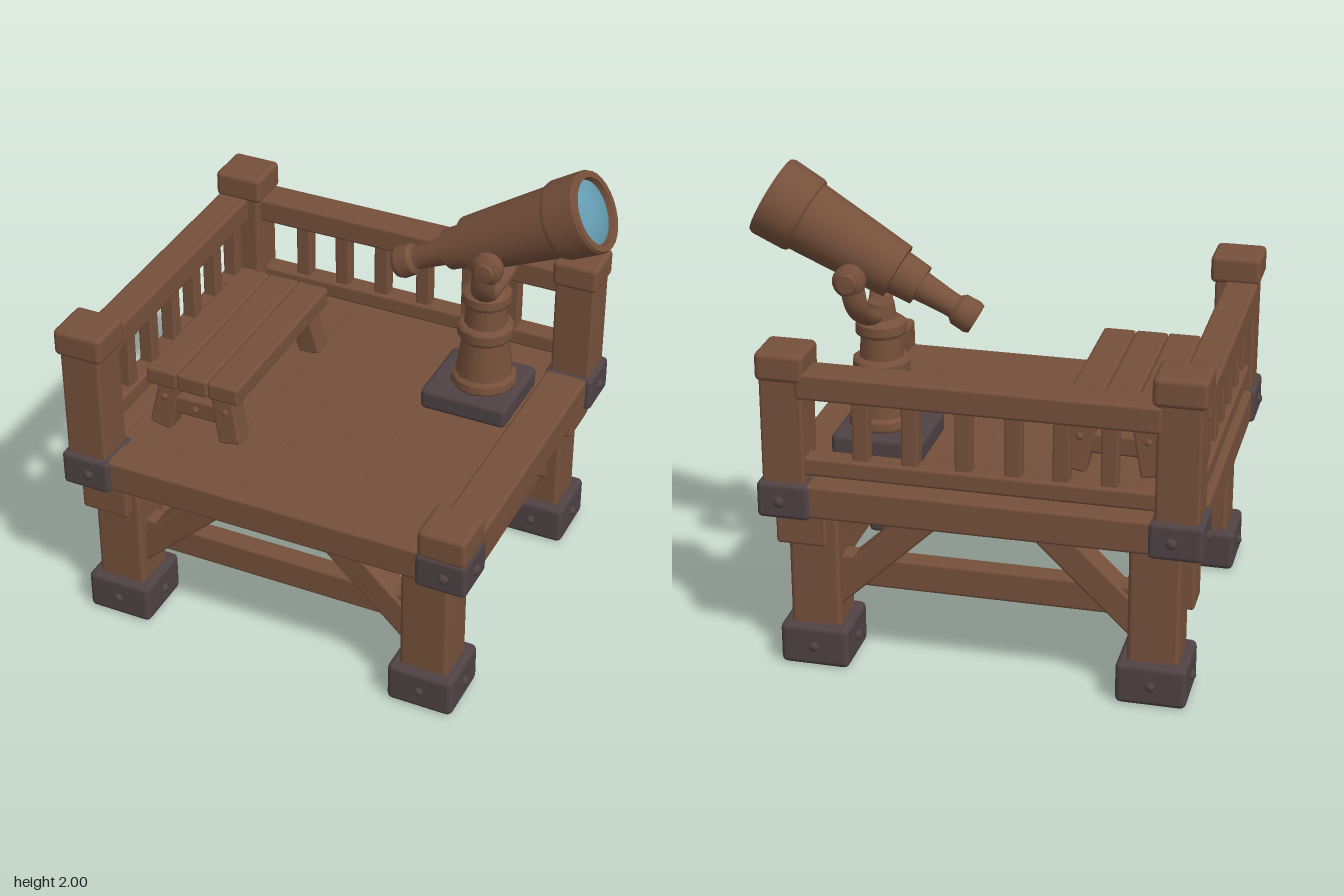
import * as THREE from 'three';
import { RoundedBoxGeometry } from 'three/addons/geometries/RoundedBoxGeometry.js';

const wood = new THREE.MeshStandardMaterial({ color: 0x76503b });
wood.name = 'brown wood';
const iron = new THREE.MeshStandardMaterial({ color: 0x4f4245 });
iron.name = 'dark iron';
const glass = new THREE.MeshStandardMaterial({ color: 0x649bb0 });
glass.name = 'blue glass';

function add(parent, name, geometry, material, x = 0, y = 0, z = 0) {
  const mesh = new THREE.Mesh(geometry, material);
  mesh.name = name;
  mesh.position.set(x, y, z);
  parent.add(mesh);
  return mesh;
}

// Softly bevelled block given by its limits on each axis
function block(parent, name, [x0, x1], [y0, y1], [z0, z1], material = wood, bevel = 0.014) {
  const size = [x1 - x0, y1 - y0, z1 - z0];
  const r = Math.min(bevel, Math.min(...size) * 0.3);
  return add(parent, name, new RoundedBoxGeometry(...size, 2, r), material,
    (x0 + x1) / 2, (y0 + y1) / 2, (z0 + z1) / 2);
}

// Square timber running between two points
function timber(parent, name, a, b, width, depth) {
  const from = new THREE.Vector3(...a), to = new THREE.Vector3(...b);
  const up = to.clone().sub(from);
  const mesh = add(parent, name, new RoundedBoxGeometry(width, up.length(), depth, 2, 0.012), wood);
  mesh.position.copy(from).add(to).multiplyScalar(0.5);
  up.normalize();
  // Keep the timber's depth axis square to the plane it lies in
  const side = Math.abs(up.x) > Math.abs(up.z) ? new THREE.Vector3(0, 0, 1) : new THREE.Vector3(1, 0, 0);
  const across = new THREE.Vector3().crossVectors(up, side).normalize();
  const normal = new THREE.Vector3().crossVectors(across, up);
  mesh.quaternion.setFromRotationMatrix(new THREE.Matrix4().makeBasis(across, up, normal));
  return mesh;
}

function stud(parent, x, y, z, r = 0.022, material = iron) {
  add(parent, 'stud', new THREE.SphereGeometry(r, 10, 8), material, x, y, z);
}

// Thin flat patch cut from a short outline
function patch(parent, name, points, x, y, z) {
  const shape = new THREE.Shape(points.map((p) => new THREE.Vector2(...p)));
  return add(parent, name, new THREE.ExtrudeGeometry(shape, { depth: 0.004, bevelEnabled: false }), iron, x, y, z);
}

const around = (c, half) => [c - half, c + half];

// Turned part with a crisp profile: each segment gets its own normals
function turned(parent, name, points, sides) {
  const group = new THREE.Group();
  group.name = name;
  for (let i = 1; i < points.length; i++) {
    const pair = [points[i - 1], points[i]].map(([r, h]) => new THREE.Vector2(r, h));
    add(group, name + 'Section', new THREE.LatheGeometry(pair, sides), wood);
  }
  parent.add(group);
  return group;
}

function buildCorners(root) {
  for (const sx of [-1, 1]) for (const sz of [-1, 1]) {
    const corner = new THREE.Group();
    corner.name = 'cornerPost';
    root.add(corner);
    const lx = sx < 0 ? -0.767 : 0.625, lz = sz < 0 ? -0.615 : 0.625;
    const px = sx < 0 ? -0.857 : 0.722, pz = sz < 0 ? -0.688 : 0.7;

    // Leg and iron shoe
    block(corner, 'leg', around(lx, 0.105), [0.1, 0.74], around(lz, 0.102), wood, 0.02);
    block(corner, 'foot', around(lx, 0.144), [0.005, 0.185], around(lz, 0.14), iron, 0.025);
    for (const s of [-1, 1]) {
      stud(corner, lx + s * 0.141, 0.095, lz);
      stud(corner, lx, 0.095, lz + s * 0.135);
    }

    // Iron corner strap
    block(corner, 'cornerStrap', around(px, 0.109), [0.68, 0.835], around(pz, 0.108), iron, 0.02);
    stud(corner, px + sx * 0.1, 0.755, pz, 0.027);
    stud(corner, px + 0.015, 0.755, pz + sz * 0.1, 0.025);

    // Rail post and cap, or a low stump at the open corner
    if (sx > 0 && sz > 0) {
      block(corner, 'stumpCap', around(px, 0.103), [0.82, 0.95], around(pz, 0.104), wood, 0.022);
    } else {
      const top = sx > 0 ? 1.385 : 1.432;
      block(corner, 'railPost', around(px, 0.088), [0.8, top - 0.06], around(pz, 0.088));
      block(corner, 'postCap', around(px, sx < 0 ? 0.107 : 0.1), [top - 0.12, top], around(pz, 0.102), wood, 0.022);
    }
    if (sx !== sz) {
      block(corner, 'legCollar', around(sx < 0 ? -0.798 : 0.665, 0.105), [0.55, 0.7],
        around(sz < 0 ? -0.638 : 0.66, 0.112));
    }
  }
}

function buildDeck(root) {
  // Tight planks run front to back
  const edges = [-0.82, -0.74, -0.55, -0.36, -0.16, 0.03, 0.22, 0.41, 0.62, 0.7];
  for (let i = 1; i < edges.length; i++) {
    block(root, 'deckPlank', [edges[i - 1], edges[i]],
      [0.745, 0.826], [-0.67, 0.67], wood, 0.005);
  }
  // Edge beams
  block(root, 'edgeBeam', [-0.8, 0.66], [0.69, 0.832], [0.645, 0.787]);
  block(root, 'edgeBeam', [-0.8, 0.66], [0.69, 0.832], [-0.785, -0.637]);
  block(root, 'edgeBeam', [-0.95, -0.8], [0.69, 0.83], [-0.62, 0.62]);
  block(root, 'edgeBeam', [0.62, 0.805], [0.69, 0.83], [-0.62, 0.62]);
  // Dark stain beside the telescope plate
  patch(root, 'deckStain', [[0.31, 0.46], [0.41, 0.46], [0.405, 0.54], [0.37, 0.555], [0.33, 0.51]], 0, 0.827, 0)
    .rotation.x = -Math.PI / 2;
}

function buildUnderframe(root) {
  for (const s of [-1, 1]) {
    // Front and back stretchers with diagonal braces
    const z = s * 0.625;
    block(root, 'stretcher', [-0.7, 0.55], [0.355, 0.487], around(z, 0.045));
    timber(root, 'brace', [-0.74, 0.285, z], [-0.27, 0.735, z], 0.12, 0.12);
    timber(root, 'brace', [0.59, 0.285, z], [0.12, 0.735, z], 0.12, 0.12);
    // Side braces
    for (const x of [-0.77, 0.62]) {
      timber(root, 'brace', [x, 0.325, s * 0.59], [x, 0.735, s * 0.065], 0.11, 0.11);
    }
  }
  block(root, 'sideStretcher', [0.575, 0.665], [0.34, 0.45], [-0.58, 0.58]);
  block(root, 'lowStretcher', [-0.82, -0.72], [0.18, 0.29], [-0.58, 0.58]);
  block(root, 'strut', [-0.85, -0.69], [0.155, 0.72], [-0.2, -0.04]);
  // Dark stain along the low stretcher
  patch(root, 'stretcherStain', [[-0.53, 0.186], [-0.3, 0.186], [-0.27, 0.2], [-0.53, 0.215]], -0.722, 0, 0)
    .rotation.y = Math.PI / 2;
}

function buildRailings(root) {
  block(root, 'backTopRail', [-0.79, 0.66], [1.2, 1.31], [-0.785, -0.637]);
  block(root, 'backLowRail', [-0.79, 0.66], [0.865, 0.945], [-0.76, -0.667]);
  block(root, 'sideTopRail', [-0.955, -0.815], [1.21, 1.322], [-0.64, 0.64]);
  block(root, 'sideLowRail', [-0.93, -0.84], [0.865, 0.945], [-0.64, 0.64]);
  for (const x of [-0.585, -0.395, -0.205, -0.005, 0.21, 0.41]) {
    block(root, 'baluster', around(x, 0.033), [0.92, 1.23], around(-0.712, 0.031), wood, 0.008);
  }
  for (let i = 0; i < 7; i++) {
    block(root, 'baluster', around(-0.885, 0.031), [0.92, 1.23], around(0.575 - i * 0.1915, 0.032), wood, 0.008);
  }
}

function buildBench(root) {
  const bench = new THREE.Group();
  bench.name = 'bench';
  root.add(bench);
  for (let i = 0; i < 3; i++) {
    const x = -0.74 + i * 0.141;
    block(bench, 'seatPlank', [x, x + 0.14], [1.035, 1.118], [-0.385, 0.475]);
  }
  // Splayed trestles with a crosspiece and diagonal stay
  for (const s of [-1, 1]) {
    const z = 0.043 + s * 0.37;
    for (const t of [-1, 1]) {
      timber(bench, 'benchLeg', [-0.53 + t * 0.163, 0.825, z + s * 0.01],
        [-0.53 + t * 0.115, 1.05, z - s * 0.02], 0.1, 0.095).rotation.set(-s * 0.1, 0, t * 0.2);
      stud(bench, -0.53 + t * 0.14, 0.975, z + s * 0.037, 0.016, wood);
    }
    block(bench, 'crosspiece', [-0.65, -0.41], [0.9, 0.99], around(z, 0.035));
    stud(bench, -0.53, 0.945, z + s * 0.034, 0.016, wood);
    timber(bench, 'benchStay', [-0.53, 0.91, z - s * 0.02], [-0.53, 1.05, z - s * 0.24], 0.045, 0.07);
  }
}

function buildTelescope(root) {
  const scope = new THREE.Group();
  scope.name = 'telescope';
  scope.position.z = -0.29;
  root.add(scope);

  // Iron plate and turned pedestal
  block(scope, 'basePlate', [0.235, 0.62], [0.825, 0.925], [-0.185, 0.185], iron, 0.025);
  turned(scope, 'pedestal', [
    [0.135, 0.92], [0.142, 0.935], [0.138, 0.965], [0.122, 0.98], [0.1, 1.15], [0.112, 1.15],
    [0.12, 1.165], [0.12, 1.205], [0.11, 1.215], [0.092, 1.22], [0.086, 1.31], [0.1, 1.315],
    [0.107, 1.33], [0.105, 1.365], [0.09, 1.375], [0.065, 1.385], [0.055, 1.45], [0, 1.455],
  ], 12).position.x = 0.45;

  // Broad forked yoke leaning toward the pivot
  const yoke = new THREE.CatmullRomCurve3([
    [0.02, 1.58, -0.185], [0.01, 1.49, -0.175], [0, 1.42, -0.11], [-0.005, 1.395, 0],
    [0, 1.42, 0.11], [0.01, 1.49, 0.175], [0.02, 1.58, 0.185],
  ].map((p) => new THREE.Vector3(...p)));
  add(scope, 'yoke', new THREE.TubeGeometry(yoke, 32, 0.034, 12).scale(1.5, 1, 1), wood, 0.482);

  // Pivot knobs and axle
  const axle = add(scope, 'axle', new THREE.CylinderGeometry(0.026, 0.026, 0.36, 12), wood, 0.52, 1.595, 0);
  axle.rotation.x = Math.PI / 2;
  for (const s of [-1, 1]) {
    const knob = turned(scope, 'pivotKnob', [
      [0, -0.032], [0.052, -0.032], [0.066, -0.018], [0.066, 0.018], [0.05, 0.03],
      [0.042, 0.034], [0.038, 0.05], [0, 0.054],
    ], 18);
    knob.position.set(0.52, 1.595, s * 0.188);
    knob.rotation.x = s * Math.PI / 2;
  }

  // Stepped barrel from eyepiece to open rim
  const barrel = new THREE.Group();
  barrel.name = 'barrel';
  barrel.position.set(0.056, 1.402, 0.01);
  barrel.rotation.z = THREE.MathUtils.degToRad(28.5 - 90);
  scope.add(barrel);
  turned(barrel, 'tube', [
    [0, 0.012], [0.045, 0.012], [0.05, 0], [0.063, 0], [0.07, 0.02], [0.067, 0.08], [0.05, 0.1],
    [0.05, 0.125], [0.062, 0.26], [0.085, 0.26], [0.093, 0.365], [0.116, 0.368], [0.128, 0.52],
    [0.148, 0.79], [0.158, 0.795], [0.163, 0.81], [0.17, 0.945], [0.164, 0.96], [0.138, 0.96],
    [0.13, 0.925],
  ], 28);
  // Domed lens set inside the rim
  const bulge = 0.3, halfAngle = Math.asin(0.134 / bulge);
  add(barrel, 'lens', new THREE.SphereGeometry(bulge, 28, 6, 0, Math.PI * 2, 0, halfAngle), glass,
    0, 0.935 - bulge * Math.cos(halfAngle), 0);
}

export function createModel() {
  const root = new THREE.Group();
  root.name = 'lookoutPlatform';
  buildCorners(root);
  buildDeck(root);
  buildUnderframe(root);
  buildRailings(root);
  buildBench(root);
  buildTelescope(root);
  return root;
}
